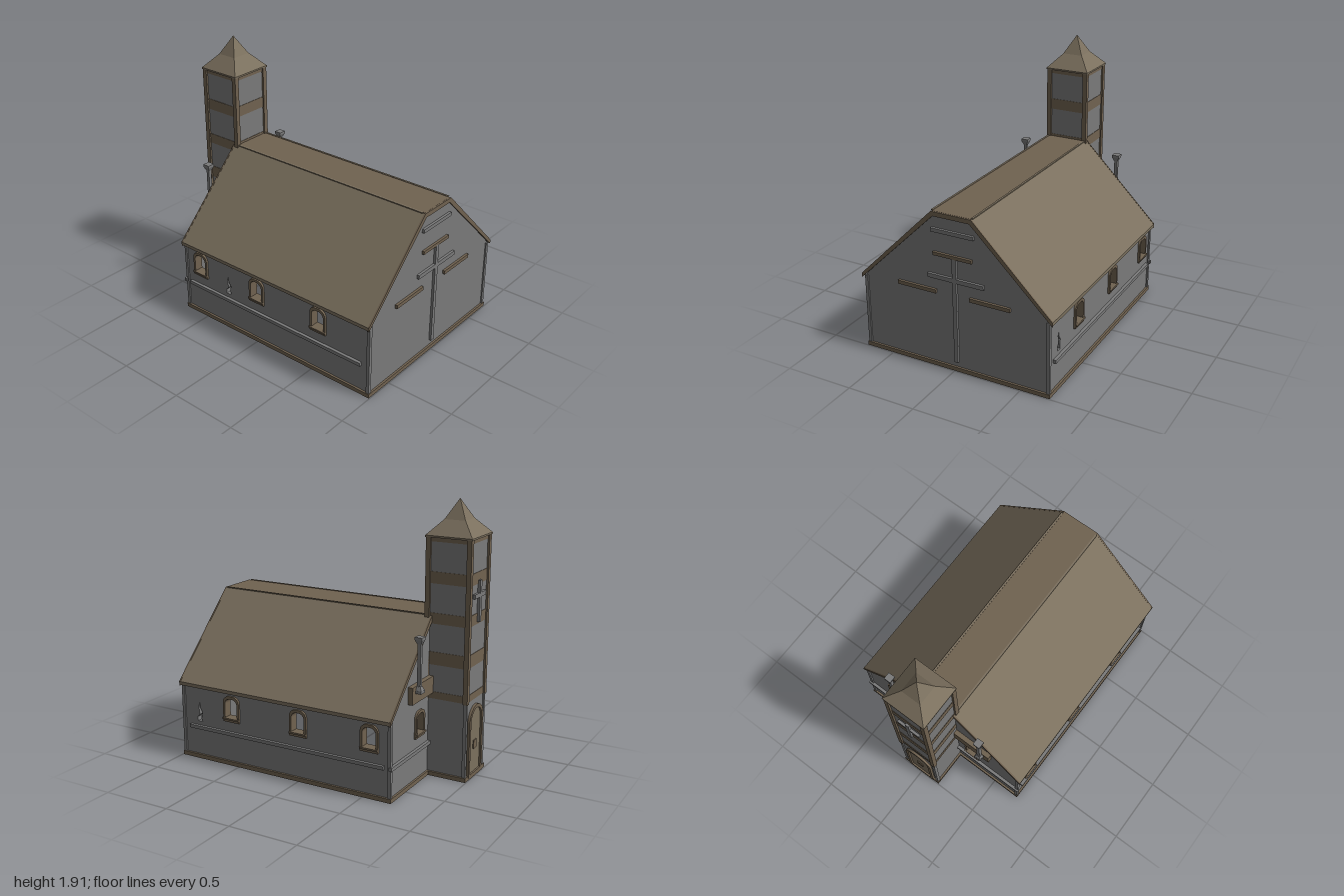
import * as THREE from 'three';

export function createModel() {
  const root = new THREE.Group();
  root.name = 'chapel';
  const mat = (name, color) => {
    const m = new THREE.MeshStandardMaterial({ color });
    m.name = name;
    return m;
  };
  const stone = mat('greyStone', 0x7a7a7a);
  const roofing = mat('roofBrown', 0x7b705e);
  const timber = mat('timberBrown', 0x706250);

  const add = (name, geo, m, parent = root) => {
    const mesh = new THREE.Mesh(geo, m);
    mesh.name = name;
    parent.add(mesh);
    return mesh;
  };
  // Box given by its limits on each axis
  const box = (name, m, x0, x1, y0, y1, z0, z1, parent = root) => {
    const g = new THREE.BoxGeometry(x1 - x0, y1 - y0, z1 - z0);
    g.translate((x0 + x1) / 2, (y0 + y1) / 2, (z0 + z1) / 2);
    return add(name, g, m, parent);
  };
  const poly = (pts) => new THREE.Shape(pts.map(([x, y]) => new THREE.Vector2(x, y)));
  const extrude = (shape, from, to) => {
    const g = new THREE.ExtrudeGeometry(shape, { depth: to - from, bevelEnabled: false, curveSegments: 8 });
    return g.translate(0, 0, from);
  };
  // Round-topped outline: half width, bottom, top
  const arch = (cx, w, y0, y1, r = w) => {
    const s = new THREE.Shape();
    s.moveTo(cx - w, y0);
    s.lineTo(cx + w, y0);
    s.lineTo(cx + w, y1 - r);
    s.absarc(cx + w - r, y1 - r, r, 0, Math.PI / 2, false);
    s.lineTo(cx - w + r, y1);
    s.absarc(cx - w + r, y1 - r, r, Math.PI / 2, Math.PI, false);
    s.closePath();
    return s;
  };
  // A side of the building, drawn facing local +z and then turned
  const side = (name, angle) => {
    const g = new THREE.Group();
    g.name = name;
    g.rotation.y = angle;
    root.add(g);
    return g;
  };
  const windowFrame = (cx, face, parent) => {
    const s = arch(cx, 0.067, 0.325, 0.515, 0.05);
    s.holes.push(arch(cx, 0.05, 0.355, 0.495, 0.04));
    add('windowFrame', extrude(s, face - 0.05, face + 0.015), timber, parent);
    box('windowSill', timber, cx - 0.067, cx + 0.067, 0.343, 0.355, face, face + 0.025, parent);
  };
  const windowHole = (cx) => arch(cx, 0.062, 0.33, 0.51, 0.045);

  // Long walls, with windows and a wavy slit
  for (const [name, angle, slitX] of [['frontWall', 0, -0.28], ['backWall', Math.PI, -0.84]]) {
    const g = side(name, angle);
    const s = poly([[-0.7, 0], [0.98, 0], [0.98, 0.56], [-0.7, 0.56]].map(([x, y]) => [angle ? -x : x, y]));
    const windows = [-0.55, 0, 0.555].map((x) => (angle ? -x : x));
    windows.forEach((x) => s.holes.push(windowHole(x)));
    s.holes.push(poly([[-0.02, 0.28], [0.02, 0.28], [0.015, 0.32], [0.022, 0.35], [0, 0.385], [0, 0.42],
      [-0.012, 0.39], [-0.005, 0.36], [-0.004, 0.33], [-0.022, 0.31]].map(([x, y]) => [x + slitX, y])));
    add('wall', extrude(s, 0.66, 0.7), stone, g);
    windows.forEach((x) => windowFrame(x, 0.7, g));
    const [c0, c1] = angle ? [-0.92, 0.66] : [-0.66, 0.92];
    box('stringCourse', stone, c0, c1, 0.225, 0.25, 0.7, 0.722, g);
  }

  // Gable with the relief bars (local x runs towards -z)
  const gable = [[0.7, 0], [0.7, 0.56], [0.14, 1.12], [-0.14, 1.12], [-0.7, 0.56], [-0.7, 0]];
  const east = side('reliefGable', Math.PI / 2);
  add('wall', extrude(poly(gable), 0.94, 0.98), stone, east);
  for (const [m, x0, x1, y0, y1] of [
    [stone, 0, 0.03, 0.07, 0.84], [stone, -0.19, 0.235, 0.665, 0.695], [stone, -0.155, 0.165, 1.0, 1.027],
    [timber, -0.145, 0.148, 0.834, 0.858], [timber, -0.43, -0.13, 0.555, 0.582], [timber, 0.125, 0.425, 0.555, 0.582],
  ]) box('reliefBar', m, x0, x1, y0, y1, 0.975, 0.998, east);

  // Tower-side gable, open to the tower below (local x runs towards +z)
  const west = side('towerGable', -Math.PI / 2);
  const wall = poly([[-0.12, 0], [-0.12, 0.56], [0.12, 0.56], [0.12, 0], ...gable]);
  for (const s of [-1, 1]) wall.holes.push(windowHole(s * 0.29));
  add('wall', extrude(wall, 0.66, 0.7), stone, west);
  for (const s of [-1, 1]) {
    windowFrame(s * 0.29, 0.7, west);
    const [a, b] = s > 0 ? [0.15, 0.72] : [-0.72, -0.15];
    box('stringCourse', stone, a, b, 0.225, 0.25, 0.7, 0.722, west);
    box('stoveBox', timber, s * 0.3 - 0.16, s * 0.3 + 0.16, 0.6, 0.72, 0.62, 0.735, west);
  }

  // Chimney pipes with flared square ends
  for (const s of [-1, 1]) {
    const g = new THREE.Group();
    g.name = 'chimney';
    g.position.set(-0.748, 0, s * 0.39);
    root.add(g);
    box('pipe', stone, -0.012, 0.012, 0.69, 1.03, -0.012, 0.012, g);
    box('cap', stone, -0.027, 0.027, 1.035, 1.053, -0.027, 0.027, g);
    box('foot', stone, -0.027, 0.027, 0.67, 0.69, -0.027, 0.027, g);
    for (const [y, top, bottom] of [[1.02, 0.027, 0.014], [0.702, 0.014, 0.027]]) {
      const flare = new THREE.CylinderGeometry(top * Math.SQRT2, bottom * Math.SQRT2, 0.03, 4).rotateY(Math.PI / 4);
      const flat = flare.toNonIndexed();
      flat.computeVertexNormals();
      add('flare', flat.translate(0, y, 0), stone, g);
    }
  }

  // Roof: a bent band across z, drawn along x
  const band = (w, y0, t, yt, drop) => poly([[w, y0], [t, yt], [-t, yt], [-w, y0],
    [-w, y0 - drop], [-t + drop * 0.4, yt - drop], [t - drop * 0.4, yt - drop], [w, y0 - drop]]);
  const along = (shape, x0, x1) => extrude(shape, x0, x1).rotateY(Math.PI / 2);
  add('roof', along(band(0.73, 0.562, 0.15, 1.14, 0.025), -0.71, 0.99), roofing);
  add('ceiling', along(band(0.7, 0.565, 0.14, 1.117, 0.025), -0.69, 0.97), stone);
  for (const x of [-0.717, 0.985])
    add('bargeBoard', along(band(0.73, 0.564, 0.15, 1.142, 0.032), x, x + 0.011), timber);
  box('roofRidge', timber, -0.7, 0.985, 1.138, 1.143, -0.145, 0.145);
  for (const s of [-1, 1]) box('ridgeTrim', roofing, -0.7, 0.975, 1.14, 1.147, s * 0.15 - 0.007, s * 0.15 + 0.007);

  // Wall corner strips
  for (const s of [-1, 1]) for (const x of [-0.698, 0.978])
    box('cornerStrip', stone, x - 0.012, x + 0.012, 0.03, 0.55, s * 0.698 - 0.012, s * 0.698 + 0.012);

  // Base board following the plan of hall and tower
  const plan = (o) => [[0.98 + o, 0.7 + o], [-0.7 - o, 0.7 + o], [-0.7 - o, 0.15 + o], [-0.98 - o, 0.15 + o],
    [-0.98 - o, -0.15 - o], [-0.7 - o, -0.15 - o], [-0.7 - o, -0.7 - o], [0.98 + o, -0.7 - o]];
  const base = poly(plan(0.015));
  base.holes.push(poly(plan(-0.05)));
  add('baseBoard', extrude(base, 0, 0.03).rotateX(-Math.PI / 2), timber);

  // Tower walls
  const tower = new THREE.Group();
  tower.name = 'tower';
  tower.position.x = -0.83;
  root.add(tower);
  const h = 0.15;
  for (const s of [-1, 1])
    box('towerWall', stone, -h, h, 0, 1.67, s * 0.135 - 0.015, s * 0.135 + 0.015, tower);
  box('towerWall', stone, -h, -0.12, 0, 1.67, -0.12, 0.12, tower);
  box('towerWall', stone, 0.12, h, 0.56, 1.67, -0.12, 0.12, tower);

  // Tower corner posts: timber above, stone below
  for (const sx of [-1, 1]) for (const sz of [-1, 1]) {
    const x = sx * 0.147, z = sz * 0.147;
    box('towerPost', timber, x - 0.017, x + 0.017, 0.555, 1.67, z - 0.017, z + 0.017, tower);
    box('lowerPost', stone, x - 0.012, x + 0.012, 0.02, 0.555, z - 0.012, z + 0.012, tower);
  }

  // Painted timber bands on all four tower faces
  for (const [y0, y1] of [[0.56, 0.61], [0.8, 0.89], [1.085, 1.16], [1.36, 1.44], [1.64, 1.67]])
    for (let i = 0; i < 4; i++) {
      const b = box('towerBand', timber, -0.13, 0.13, y0, y1, 0.149, 0.153, tower);
      b.rotation.y = i * Math.PI / 2;
    }

  // Spire, four-sided with a bell-cast foot
  const spire = new THREE.LatheGeometry([[0, 1.668], [0.168, 1.668], [0.168, 1.68], [0.075, 1.78], [0, 1.915]]
    .map(([r, y]) => new THREE.Vector2(r * Math.SQRT2, y)), 4).rotateY(Math.PI / 4).toNonIndexed();
  spire.computeVertexNormals();
  add('spire', spire, roofing, tower);

  // Arched door and wall cross on the tower's outer face
  const entry = new THREE.Group();
  entry.name = 'towerEntry';
  entry.rotation.y = -Math.PI / 2;
  tower.add(entry);
  const frame = arch(0, 0.115, 0, 0.52);
  frame.holes.push(arch(0, 0.09, 0.03, 0.495));
  add('doorFrame', extrude(frame, 0.14, 0.168), timber, entry);
  add('door', extrude(arch(0, 0.092, 0.02, 0.497), 0.145, 0.155), roofing, entry);
  box('doorPlate', timber, -0.025, 0.025, 0.2, 0.26, 0.15, 0.162, entry);
  box('wallCross', stone, -0.015, 0.015, 1.1, 1.385, 0.145, 0.169, entry);
  box('crossArm', stone, -0.09, 0.09, 1.27, 1.3, 0.145, 0.168, entry);

  return root;
}
